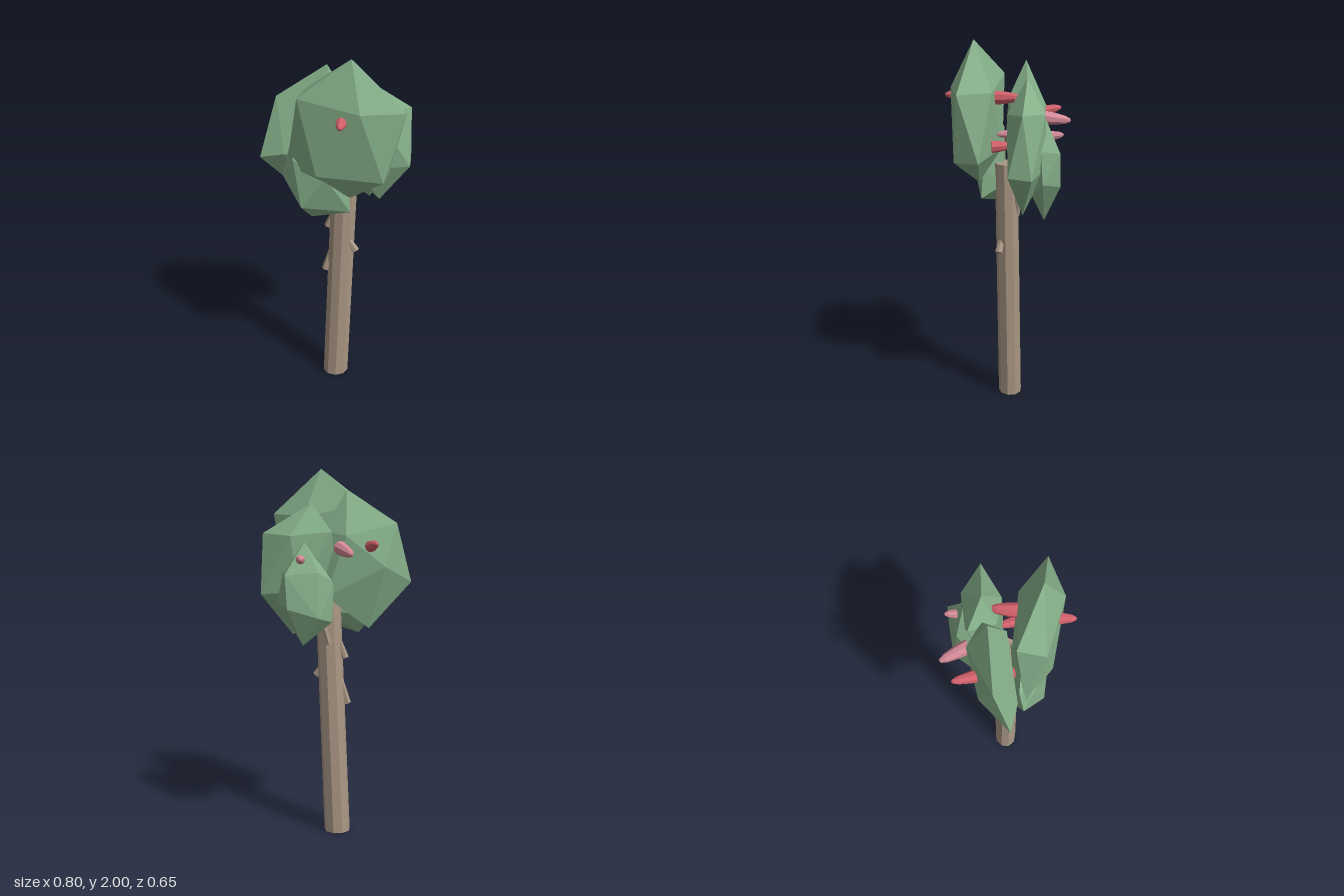
import * as THREE from 'three';
import { ConvexGeometry } from 'three/addons/geometries/ConvexGeometry.js';

const material = (name, color) => {
  const m = new THREE.MeshStandardMaterial({ color });
  m.name = name;
  return m;
};

export function createModel() {
  const tree = new THREE.Group();
  tree.name = 'tree';
  const leaf = material('leafGreen', 0x86b08a);
  const bark = material('barkBrown', 0xa89683);
  const red = material('coneRed', 0xd1606a);
  const pink = material('conePink', 0xd58a98);
  const up = new THREE.Vector3(0, 1, 0);

  const add = (name, geometry, mat) => {
    const flat = geometry.index ? geometry.toNonIndexed() : geometry;
    flat.computeVertexNormals();
    const mesh = new THREE.Mesh(flat, mat);
    mesh.name = name;
    tree.add(mesh);
    return mesh;
  };

  // Turn a unit-tall, y-based geometry so that it runs from one point to another
  const span = (mesh, from, to) => {
    const a = new THREE.Vector3(...from);
    const d = new THREE.Vector3(...to).sub(a);
    mesh.position.copy(a);
    mesh.scale.y = d.length();
    mesh.quaternion.setFromUnitVectors(up, d.normalize());
  };
  const stick = (name, from, to, r0, r1, sides) =>
    span(add(name, new THREE.CylinderGeometry(r1, r0, 1, sides).translate(0, 0.5, 0), bark), from, to);

  // Leaning trunk, sheared so both ends stay level
  const trunk = new THREE.CylinderGeometry(0.068, 0.073, 1.37, 9).translate(0, 0.685, 0);
  const p = trunk.attributes.position;
  for (let i = 0; i < p.count; i++) {
    const t = p.getY(i) / 1.37;
    p.setX(i, p.getX(i) - 0.007 + 0.05 * t);
    p.setZ(i, p.getZ(i) * 0.9 - 0.01 + 0.018 * t);
  }
  add('trunk', trunk, bark);

  // Drooping twig stubs
  stick('leftTwig', [0.055, 0.96, 0.03], [0.105, 0.89, 0.048], 0.016, 0.021, 6);
  stick('lowerRightTwig', [-0.03, 0.87, -0.005], [-0.06, 0.74, 0], 0.012, 0.024, 6);
  stick('upperRightTwig', [-0.02, 1.09, -0.02], [-0.05, 1.0, -0.03], 0.012, 0.019, 6);
  stick('backTwig', [0.04, 1.08, -0.04], [0.07, 1.19, -0.05], 0.022, 0.016, 6);

  // Foliage clumps: peak, upper ring, lower ring, bottom
  const clumps = {
    frontFoliage: [[0.07, 2, 0.17],
      [0.33, 1.76, 0.235], [0.11, 1.77, 0.285], [-0.19, 1.8, 0.155], [-0.15, 1.81, 0.025], [0.17, 1.75, 0.075],
      [-0.255, 1.4, 0.06], [-0.1, 1.42, 0.215], [0.23, 1.41, 0.265], [0.265, 1.41, 0.14], [0.03, 1.45, 0.03],
      [0.07, 1.27, 0.15]],
    rightFoliage: [[-0.05, 1.89, -0.09],
      [-0.31, 1.72, -0.1], [-0.04, 1.66, -0.195], [0.07, 1.68, -0.11], [0, 1.7, 0],
      [-0.4, 1.41, -0.03], [-0.245, 1.5, -0.165], [0.06, 1.35, -0.17], [0.07, 1.4, -0.05],
      [-0.27, 1.45, 0.02], [-0.1, 1.42, 0.02],
      [-0.17, 1.17, -0.08]],
    leftFoliage: [[0.13, 1.82, -0.1],
      [0.38, 1.67, -0.08], [0.24, 1.66, -0.19], [0.03, 1.68, -0.18], [0.05, 1.68, -0.04], [0.2, 1.65, 0],
      [0.395, 1.36, -0.125], [0.38, 1.37, -0.01], [0.1, 1.35, 0], [0, 1.35, -0.1], [0.2, 1.38, -0.2],
      [0.23, 1.14, -0.08]],
    lowerFrontFoliage: [[-0.1, 1.62, 0.06],
      [-0.22, 1.46, 0.11], [-0.05, 1.4, 0.2], [0.06, 1.35, 0.13], [0.02, 1.5, 0.02], [-0.24, 1.5, 0.03],
      [-0.28, 1.35, 0.05], [-0.18, 1.22, 0.17], [0.07, 1.18, 0.14], [0.05, 1.25, 0.03], [-0.2, 1.22, 0.02],
      [-0.13, 1.12, 0.08]],
    lowerBackFoliage: [[0.17, 1.63, -0.19],
      [0.27, 1.47, -0.265], [0.1, 1.48, -0.235], [0.02, 1.42, -0.17], [0.28, 1.48, -0.17],
      [0.31, 1.32, -0.18], [0.26, 1.3, -0.27], [0.1, 1.25, -0.265], [0.03, 1.22, -0.18], [0.2, 1.25, -0.12],
      [0.18, 1.1, -0.19]],
  };
  for (const [name, points] of Object.entries(clumps)) {
    add(name, new ConvexGeometry(points.map((v) => new THREE.Vector3(...v))), leaf);
  }

  // Blunt cones growing out of the foliage: base, tip, radius
  const profile = [[0, 0], [1, 0], [0.88, 0.4], [0.62, 0.78], [0.3, 0.96], [0, 1]];
  const cone = (name, mat, from, to, r) => span(add(name,
    new THREE.LatheGeometry(profile.map(([x, y]) => new THREE.Vector2(x * r, y)), 8), mat), from, to);
  cone('frontCone', red, [0.03, 1.72, 0.22], [0.015, 1.72, 0.325], 0.03);
  cone('upperInnerCone', red, [0.09, 1.715, 0.065], [0.115, 1.72, -0.065], 0.037);
  cone('lowerInnerCone', red, [0.15, 1.475, 0.08], [0.13, 1.48, -0.03], 0.03);
  cone('leftInnerCone', pink, [0.17, 1.55, -0.03], [0.185, 1.545, 0.05], 0.024);
  cone('rightInnerCone', red, [-0.12, 1.475, 0], [-0.12, 1.47, 0.1], 0.028);
  cone('backRightCone', red, [-0.16, 1.6, -0.14], [-0.187, 1.625, -0.28], 0.032);
  cone('backMiddleCone', pink, [-0.01, 1.6, -0.18], [-0.06, 1.575, -0.327], 0.036);
  cone('backLeftCone', pink, [0.19, 1.54, -0.19], [0.193, 1.55, -0.282], 0.027);

  return tree;
}
